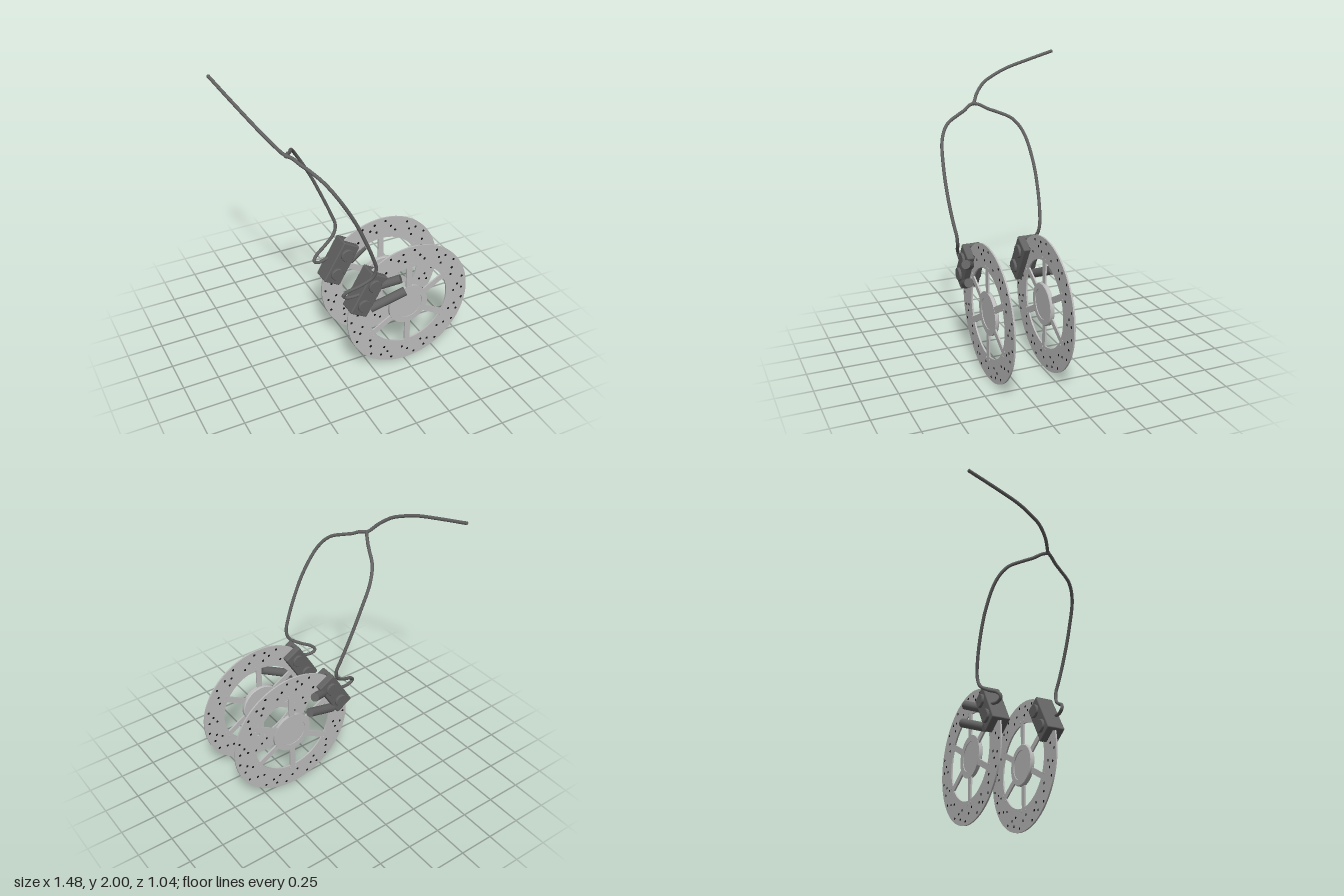
import * as THREE from 'three';
import { toCreasedNormals } from 'three/addons/utils/BufferGeometryUtils.js';
import { RoundedBoxGeometry } from 'three/addons/geometries/RoundedBoxGeometry.js';

const steel = new THREE.MeshStandardMaterial({ color: 0xbcbcbc });
steel.name = 'brushed steel';
const grey = new THREE.MeshStandardMaterial({ color: 0x626262 });
grey.name = 'dark grey';
const black = new THREE.MeshStandardMaterial({ color: 0x151515 });
black.name = 'black';

const MID = 0.183;    // mirror plane between the two brakes
const OFFSET = 0.202; // distance of each disc from that plane
const V = (x, y, z) => new THREE.Vector3(x, y, z);

function add(parent, name, geometry, material, x = 0, y = 0, z = 0) {
  const mesh = new THREE.Mesh(geometry, material);
  mesh.name = name;
  mesh.position.set(x, y, z);
  parent.add(mesh);
  return mesh;
}

// cylinder between two points
function rod(parent, name, a, b, r, material) {
  const dir = b.clone().sub(a);
  const mesh = add(parent, name, new THREE.CylinderGeometry(r, r, dir.length(), 20), material);
  mesh.position.copy(a).add(b).multiplyScalar(0.5);
  mesh.quaternion.setFromUnitVectors(V(0, 1, 0), dir.normalize());
  return mesh;
}

// hose with closed ends
function hose(parent, name, points, r) {
  const curve = new THREE.CatmullRomCurve3(points, false, 'centripetal');
  add(parent, name, new THREE.TubeGeometry(curve, 100, r, 10), grey);
  for (const t of [0, 1]) {
    const p = curve.getPoint(t), d = curve.getTangent(t);
    rod(parent, name + 'End', p.clone().addScaledVector(d, -0.002), p.clone().addScaledVector(d, 0.002), r, grey);
  }
}

// flat rotor with six windows between the spokes
function rotorGeometry() {
  const shape = new THREE.Shape().absarc(0, 0, 0.465, 0, Math.PI * 2);
  const inner = 0.14, outer = 0.303, half = 0.021;
  for (let i = 0; i < 6; i++) {
    const a = Math.PI / 6 + i * Math.PI / 3, b = a + Math.PI / 3;
    const ai = Math.asin(half / inner), ao = Math.asin(half / outer);
    const hole = new THREE.Path();
    hole.absarc(0, 0, outer, a + ao, b - ao, false);
    hole.absarc(0, 0, inner, b - ai, a + ai, true);
    hole.closePath();
    shape.holes.push(hole);
  }
  shape.holes.push(new THREE.Path().absarc(0, 0, 0.12, 0, Math.PI * 2, true));
  return new THREE.ExtrudeGeometry(shape, { depth: 0.011, bevelEnabled: false, curveSegments: 48 }).translate(0, 0, -0.0055);
}

function buildRotor(s) {
  const g = new THREE.Group();
  g.name = 'brakeDisc';
  g.position.set(0.27, 0.465, MID + s * OFFSET);
  add(g, 'rotor', toCreasedNormals(rotorGeometry(), 0.5), steel);

  // hub: raised rim, recessed cap, boss on the inner side
  const profile = [[0, -0.016], [0.105, -0.016], [0.105, -0.022], [0.142, -0.022], [0.148, -0.016],
    [0.148, 0.007], [0.105, 0.007], [0.105, 0.002], [0, 0.002]].map(p => new THREE.Vector2(...p));
  const hub = add(g, 'hub', toCreasedNormals(new THREE.LatheGeometry(profile, 48), 0.5), steel);
  hub.rotation.x = s * Math.PI / 2;

  // drill holes in slanting rows
  const dot = new THREE.CylinderGeometry(0.009, 0.009, 0.0125, 10).rotateX(Math.PI / 2);
  for (let i = 0; i < 15; i++) {
    [[0.362, 0], [0.392, 0.12], [0.425, 0.02], [0.437, 0.24]].forEach(([r, shift], k) => {
      if (k === 2 && i % 2) return;
      const a = i * Math.PI * 2 / 15 + shift;
      add(g, 'drillHole', dot, black, r * Math.cos(a), r * Math.sin(a), 0);
    });
  }
  // rivet pairs beside each spoke end
  const rivet = new THREE.CylinderGeometry(0.008, 0.008, 0.016, 10).rotateX(Math.PI / 2);
  for (let i = 0; i < 12; i++) {
    const a = Math.PI / 6 + Math.floor(i / 2) * Math.PI / 3 + (i % 2 ? 0.07 : -0.07);
    add(g, 'rivet', rivet, steel, 0.326 * Math.cos(a), 0.326 * Math.sin(a), 0);
  }
  return g;
}

function buildCaliper(s) {
  const g = new THREE.Group();
  g.name = 'caliper';
  const body = new THREE.Group();
  body.name = 'caliperBody';
  body.position.set(-0.064, 0.682, MID + s * OFFSET);
  body.rotation.z = -Math.PI / 6;
  g.add(body);
  // two jaws and the bridge behind the disc edge
  for (const d of [-1, 1]) {
    add(body, 'jaw', new RoundedBoxGeometry(0.136, 0.316, 0.05, 3, 0.009), grey, 0, 0, d * 0.038);
    for (const y of [-0.077, 0.077]) {
      const cap = [[0, 0], [0.046, 0], [0.046, 0.012], [0.042, 0.017], [0, 0.017]].map(p => new THREE.Vector2(...p));
      const piston = add(body, 'pistonCap', toCreasedNormals(new THREE.LatheGeometry(cap, 28), 0.5), grey, 0, y, d * 0.062);
      piston.rotation.x = d * Math.PI / 2;
    }
  }
  add(body, 'bridge', new RoundedBoxGeometry(0.03, 0.314, 0.124, 3, 0.008), grey, -0.053, 0, 0);

  // guide pins leaning outwards
  const P = (x, y, z) => V(x, y, MID + s * (z - MID));
  rod(g, 'lowerPin', P(-0.045, 0.56, 0.425), P(0.185, 0.663, 0.483), 0.031, grey);
  rod(g, 'upperPin', P(0.03, 0.722, 0.42), P(0.145, 0.778, 0.487), 0.03, grey);
  return g;
}

export function createModel() {
  const model = new THREE.Group();
  model.name = 'discBrakes';

  for (const s of [1, -1]) {
    const side = new THREE.Group();
    side.name = s > 0 ? 'frontBrake' : 'rearBrake';
    side.add(buildRotor(s), buildCaliper(s));
    // branch hose, looping into the back of the caliper
    const path = [[-0.505, 1.697, 0.183], [-0.48, 1.69, 0.22], [-0.45, 1.663, 0.27], [-0.42, 1.643, 0.325],
      [-0.37, 1.597, 0.42], [-0.31, 1.51, 0.477], [-0.21, 1.335, 0.505], [-0.13, 1.16, 0.507],
      [-0.065, 1.0, 0.496], [-0.037, 0.91, 0.483], [-0.055, 0.845, 0.473], [-0.13, 0.788, 0.45],
      [-0.215, 0.742, 0.42], [-0.237, 0.708, 0.408], [-0.2, 0.688, 0.41], [-0.11, 0.7, 0.425]];
    hose(side, 'branchHose', path.map(([x, y, z]) => V(x, y, MID + s * (z - MID))), 0.0115);
    model.add(side);
  }

  // main hose rising from the junction
  const main = [[-0.5, 1.692, 0.183], [-0.525, 1.712, 0.165], [-0.565, 1.76, 0.13], [-0.612, 1.82, 0.06],
    [-0.64, 1.858, -0.02], [-0.668, 1.898, -0.13], [-0.7, 1.945, -0.32], [-0.729, 1.99, -0.515]];
  hose(model, 'mainHose', main.map(p => V(...p)), 0.0115);
  add(model, 'hoseJunction', new THREE.SphereGeometry(0.014, 16, 12), grey, -0.505, 1.696, MID);
  return model;
}
